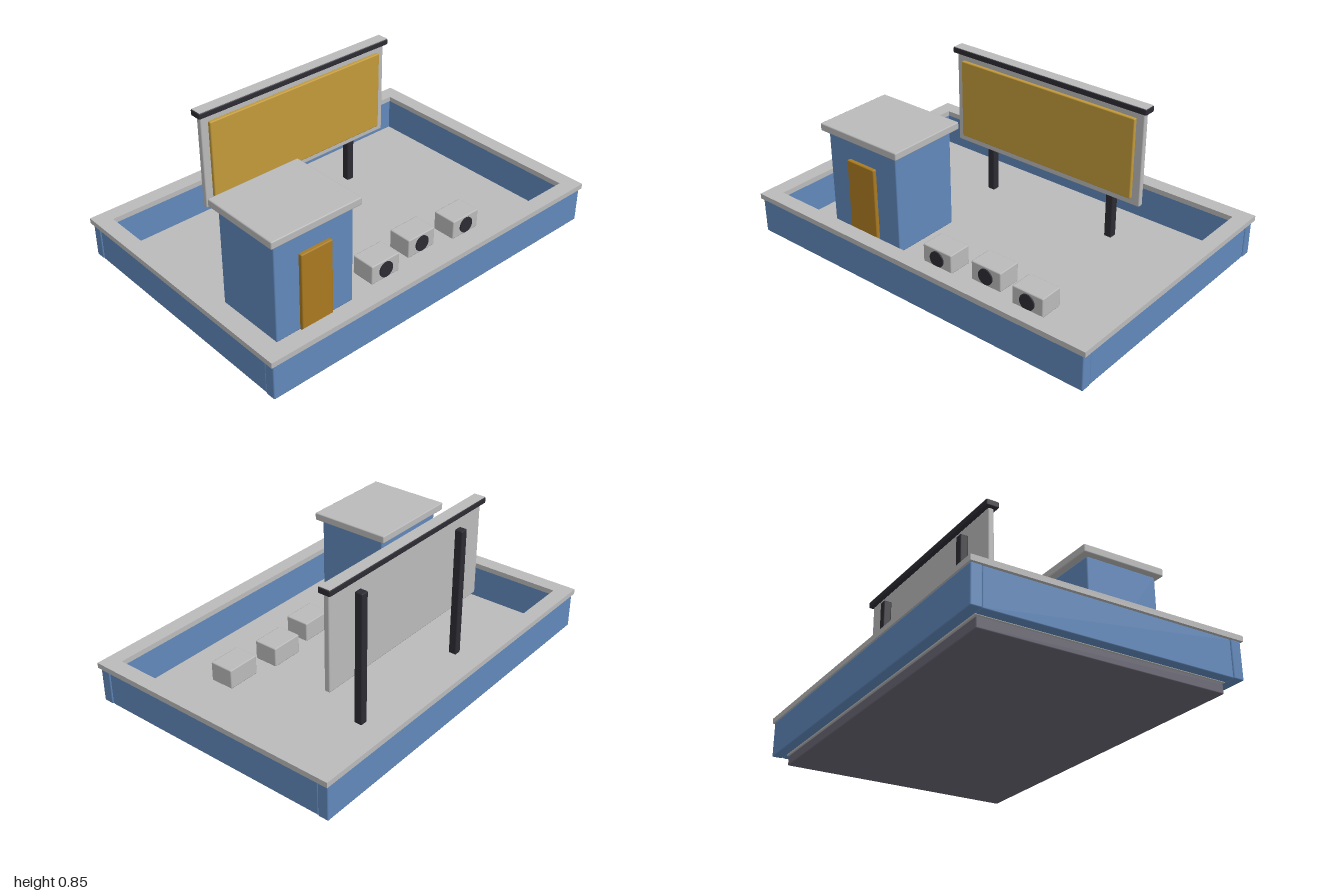
import * as THREE from 'three';
import { RoundedBoxGeometry } from 'three/addons/geometries/RoundedBoxGeometry.js';

function material(name, color) {
  const m = new THREE.MeshStandardMaterial({ color });
  m.name = name;
  return m;
}

export function createModel() {
  const root = new THREE.Group();
  root.name = 'rooftop';

  const blue = material('blue wall', 0x6088bb);
  const grey = material('light grey', 0xbababa);
  const slate = material('slate', 0x686572);
  const dark = material('charcoal', 0x2d2b33);
  const gold = material('gold', 0xc29a3a);
  const orange = material('door orange', 0xaa7a20);

  // Softly bevelled box given by its min and max on each axis
  function box(name, mat, [x0, x1], [y0, y1], [z0, z1], parent = root) {
    const w = x1 - x0, h = y1 - y0, d = z1 - z0;
    const r = Math.min(0.006, Math.min(w, h, d) * 0.3);
    const mesh = new THREE.Mesh(new RoundedBoxGeometry(w, h, d, 1, r), mat);
    mesh.position.set((x0 + x1) / 2, (y0 + y1) / 2, (z0 + z1) / 2);
    mesh.name = name;
    parent.add(mesh);
    return mesh;
  }

  // Foundation and roof deck
  const deckY = 0.062;
  box('foundation', slate, [-0.925, 0.925], [0, 0.052], [-0.622, 0.622]);
  box('deck', grey, [-0.932, 0.932], [0.052, deckY], [-0.628, 0.628]);

  // Parapet walls
  for (const s of [-1, 1]) {
    const z = [s * 0.63, s * 0.685].sort((a, b) => a - b);
    const x = [s * 0.93, s * 0.985].sort((a, b) => a - b);
    box(s > 0 ? 'frontWall' : 'backWall', blue, [-0.988, 0.988], [0.054, 0.24], z);
    box(s > 0 ? 'leftWall' : 'rightWall', blue, x, [0.054, 0.24], [-0.63, 0.63]);
  }

  // Coping: a flat rectangular ring
  const rect = (P, x, z) => new P([[-x, -z], [x, -z], [x, z], [-x, z]].map(p => new THREE.Vector2(...p)));
  const ring = rect(THREE.Shape, 1, 0.692);
  ring.holes.push(rect(THREE.Path, 0.92, 0.613));
  const coping = new THREE.Mesh(new THREE.ExtrudeGeometry(ring, { depth: 0.027, bevelEnabled: false }), grey);
  coping.rotation.x = -Math.PI / 2;
  coping.position.y = 0.238;
  coping.name = 'coping';
  root.add(coping);

  // Stair hut
  const hut = new THREE.Group();
  hut.name = 'hut';
  root.add(hut);
  box('hutWalls', blue, [-0.76, -0.31], [deckY, 0.59], [0.04, 0.42], hut);
  box('hutRoof', grey, [-0.79, -0.28], [0.59, 0.63], [0.007, 0.447], hut);
  box('door', orange, [-0.625, -0.445], [deckY, 0.48], [0.415, 0.44], hut);

  // Billboard on two posts
  const billboard = new THREE.Group();
  billboard.name = 'billboard';
  root.add(billboard);
  box('board', grey, [-0.575, 0.572], [0.317, 0.812], [-0.352, -0.322], billboard);
  box('boardPanel', gold, [-0.535, 0.53], [0.355, 0.78], [-0.325, -0.303], billboard);
  box('boardCap', dark, [-0.592, 0.59], [0.812, 0.843], [-0.372, -0.305], billboard);
  const capTop = new THREE.Mesh(new THREE.BoxGeometry(1.174, 0.003, 0.06), grey);
  capTop.position.set(-0.001, 0.8435, -0.3385);
  capTop.name = 'capTop';
  billboard.add(capTop);
  for (const x of [-0.382, 0.38])
    box('post', dark, [x - 0.021, x + 0.021], [deckY, 0.752], [-0.395, -0.352], billboard);

  // Air conditioning units, each with a round fan on the front
  const fanGeo = new THREE.CylinderGeometry(0.042, 0.042, 0.012, 24).rotateX(Math.PI / 2);
  for (const [x, z] of [[-0.08, 0.335], [0.195, 0.3], [0.47, 0.335]]) {
    const unit = new THREE.Group();
    unit.name = 'airUnit';
    unit.position.set(x, 0, z);
    root.add(unit);
    box('unitBody', grey, [-0.089, 0.089], [deckY, 0.165], [-0.065, 0.065], unit);
    const fan = new THREE.Mesh(fanGeo, dark);
    fan.position.set(0, 0.113, 0.066);
    fan.name = 'fan';
    unit.add(fan);
  }

  return root;
}
